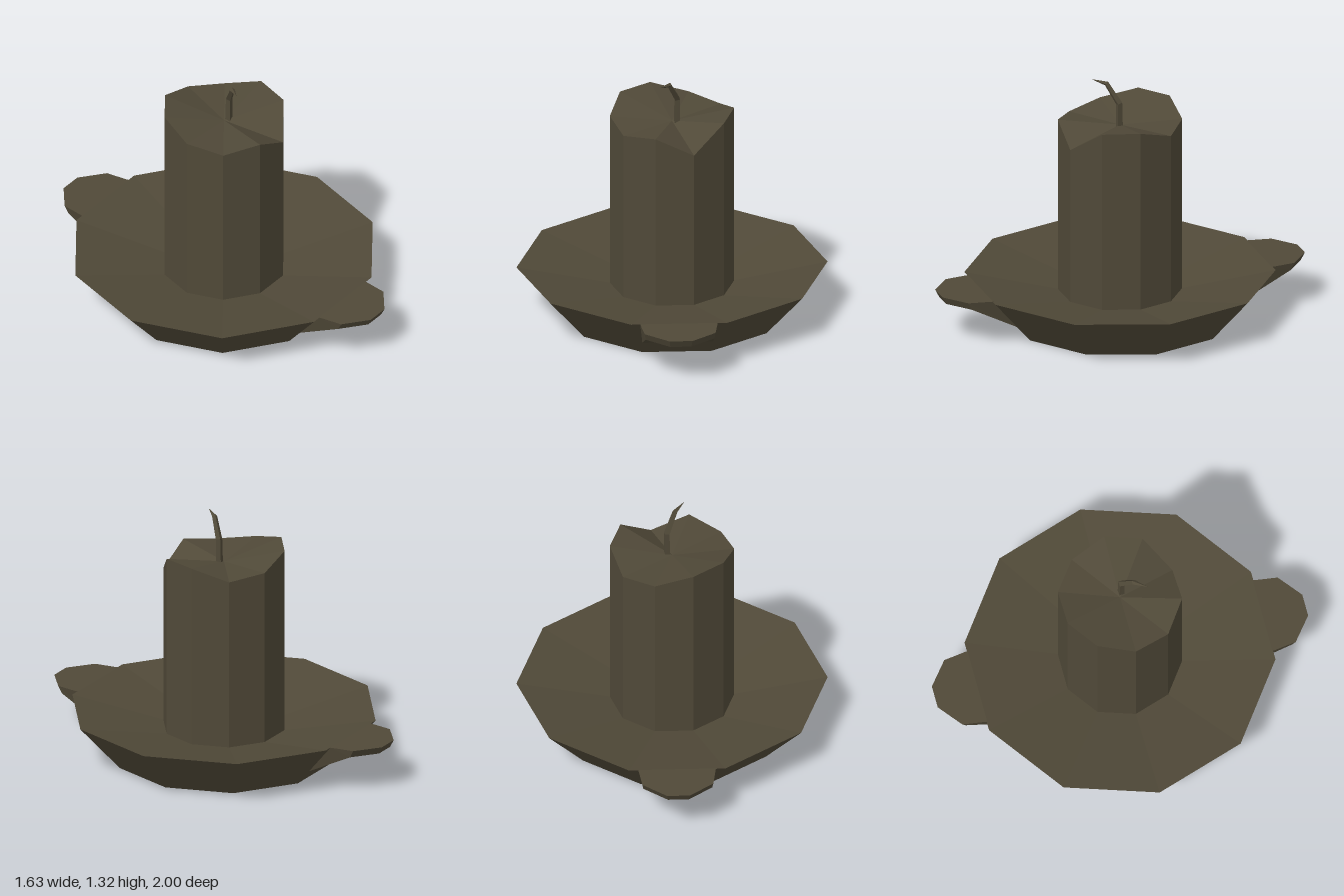
import * as THREE from 'three';

const SIDES = 10;

// Ten-sided turned shape with a corner on the +x axis; profile runs bottom to top.
function turned(profile) {
  const points = profile.map(([r, y]) => new THREE.Vector2(r, y));
  return new THREE.LatheGeometry(points, SIDES, Math.PI / 2);
}

// Skin a list of equal-length rings (counter-clockwise seen from the far end) and close the far end.
function loft(rings) {
  const n = rings[0].length;
  const index = [];
  for (let s = 0; s < rings.length - 1; s++) {
    for (let i = 0; i < n; i++) {
      const a = s * n + i, b = s * n + (i + 1) % n;
      index.push(a, b, b + n, a, b + n, a + n);
    }
  }
  const end = (rings.length - 1) * n;
  for (let i = 1; i < n - 1; i++) index.push(end, end + i, end + i + 1);
  const g = new THREE.BufferGeometry();
  g.setAttribute('position', new THREE.Float32BufferAttribute(rings.flat(2), 3));
  g.setIndex(index);
  g.computeVertexNormals();
  return g;
}

export function createModel() {
  const model = new THREE.Group();
  model.name = 'candleOnPlate';
  const material = new THREE.MeshStandardMaterial({ color: 0x504938, flatShading: true });
  material.name = 'darkOlive';

  function add(name, geometry) {
    const mesh = new THREE.Mesh(geometry, material);
    mesh.name = name;
    model.add(mesh);
    return mesh;
  }

  // Shallow dish, sloping down to the foot of the candle
  add('plate', turned([[0, 0], [0.59, 0], [0.813, 0.25], [0.325, 0.153]]));

  // Candle with an uneven melted rim; heights go round from +x towards +z
  const rim = [1.137, 1.133, 1.003, 1.1, 1.072, 1.103, 1.157, 1.157, 1.1, 1.078];
  const candle = turned([[0.325, 0.153], [0.325, 1], [0, 1.07]]);
  const p = candle.attributes.position;
  for (let i = 0; i < p.count; i++) {
    if (Math.abs(p.getY(i) - 1) > 0.01) continue;
    const k = Math.round(Math.atan2(p.getZ(i), p.getX(i)) / (Math.PI * 2) * SIDES);
    p.setY(i, rim[(k + SIDES) % SIDES]);
  }
  add('candle', candle);

  // Bent wick: four-sided, tapering to a point
  const wickPath = [
    [0.025, 1.04, 0.012, 0.02],
    [0.027, 1.2, 0.014, 0.018],
    [-0.018, 1.302, 0.068, 0.014],
    [-0.066, 1.315, 0.13, 0.001],
  ];
  // Lower rings lie flat, upper rings tilt with the bend
  const tilt = [0, 0.35, 0.9, 1.1];
  const along = new THREE.Vector3(-0.6, 0, 0.8);
  const across = new THREE.Vector3(0.8, 0, 0.6);
  add('wick', loft(wickPath.map(([x, y, z, r], s) => {
    const u = along.clone().multiplyScalar(Math.cos(tilt[s])).setY(-Math.sin(tilt[s]));
    return [0, 1, 2, 3].map((i) => {
      const a = i * Math.PI / 2;
      return new THREE.Vector3(x, y, z)
        .addScaledVector(u, r * Math.cos(a))
        .addScaledVector(across, r * Math.sin(a)).toArray();
    });
  })));

  // Lug handles: top half-width and z, then underside half-width, y and z
  const lugSections = [
    [0.203, 0.77, 0.185, 0.08, 0.625],
    [0.185, 0.9, 0.18, 0.21, 0.88],
    [0.06, 1, 0.055, 0.21, 0.98],
  ];
  const lug = loft(lugSections.map(([wt, zt, wb, yb, zb]) => [
    [-wb, yb, zb], [wb, yb, zb], [wt, 0.25, zt], [-wt, 0.25, zt],
  ]));
  add('frontHandle', lug);
  add('backHandle', lug).rotation.y = Math.PI;

  return model;
}
